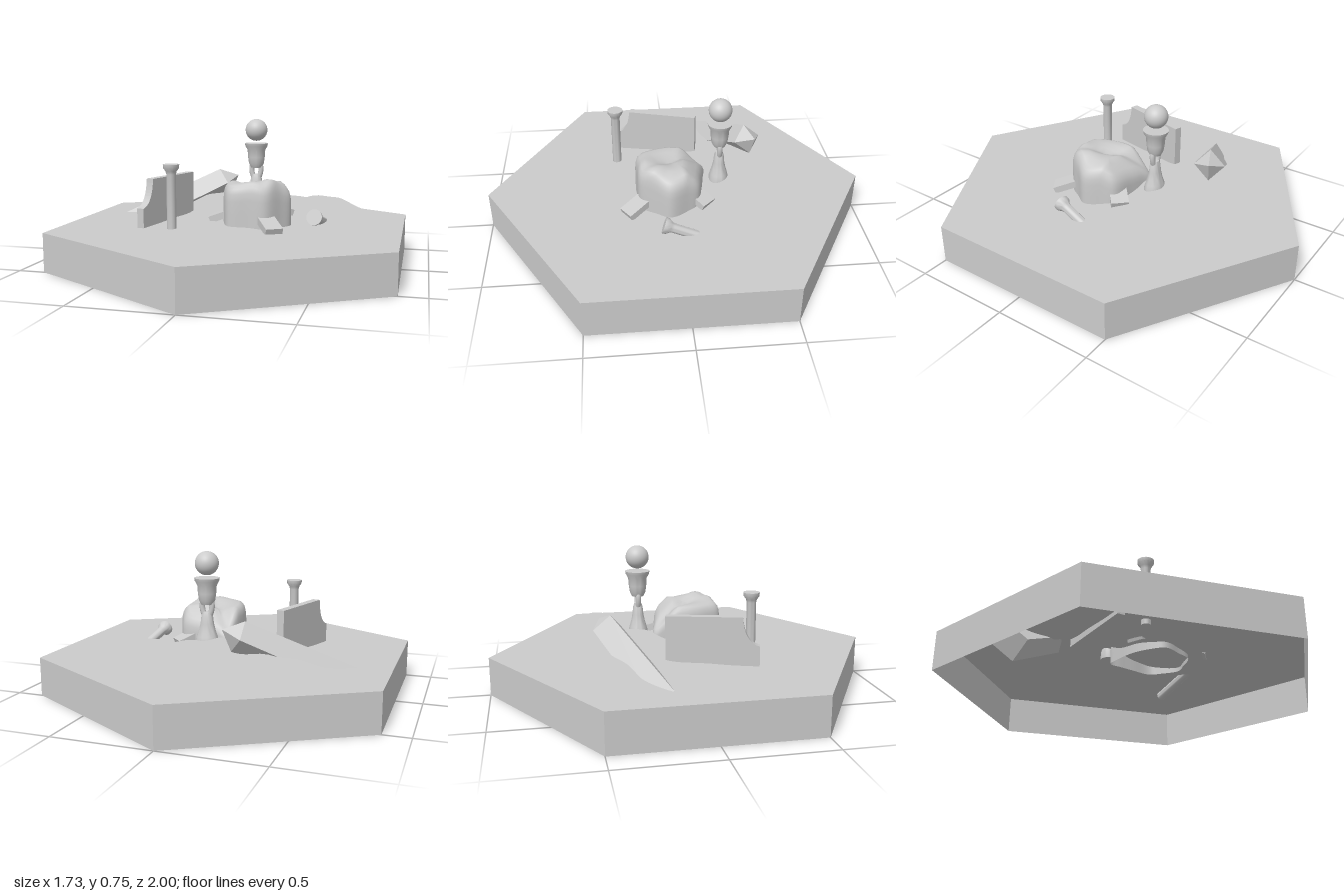
import * as THREE from 'three';
import { ParametricGeometry } from 'three/addons/geometries/ParametricGeometry.js';
import { toCreasedNormals } from 'three/addons/utils/BufferGeometryUtils.js';

const smooth = new THREE.MeshStandardMaterial({ color: 0xcccccc, side: THREE.DoubleSide });
const flat = new THREE.MeshStandardMaterial({ color: 0xcccccc, side: THREE.DoubleSide, flatShading: true });

function part(parent, name, geometry, material = smooth, x = 0, y = 0, z = 0) {
  const mesh = new THREE.Mesh(geometry, material);
  mesh.name = name;
  mesh.position.set(x, y, z);
  parent.add(mesh);
  return mesh;
}

const lathe = (points, sides = 32) =>
  toCreasedNormals(new THREE.LatheGeometry(points.map(p => new THREE.Vector2(...p)), sides), 0.7);

// Ground height: soft mounds [x, z, radius, height] with ripples on top
const mounds = [
  [0.05, -0.32, 0.25, 0.09], [0.45, -0.38, 0.18, 0.095], [-0.38, -0.42, 0.2, 0.07], [-0.15, -0.32, 0.18, 0.05],
  [0.15, -0.6, 0.19, 0.055], [0.46, -0.12, 0.15, 0.03], [-0.13, 0.1, 0.33, 0.03],
];
function groundHeight(x, z) {
  let h = 0;
  for (const [mx, mz, r, a] of mounds) h += a * Math.exp(-((x - mx) ** 2 + (z - mz) ** 2) / (r * r));
  return 0.2 + h * (1 + 0.12 * Math.sin(23 * x + 9 * z) * Math.cos(19 * z - 7 * x));
}

// Hexagonal ground sheet, flat at the rim
function groundGeometry() {
  const geometry = new ParametricGeometry((u, v, target) => {
    const a = u * Math.PI * 2;
    const rim = Math.cos(Math.PI / 6) / Math.cos((a % (Math.PI / 3)) - Math.PI / 6);
    const x = Math.sin(a) * rim * v, z = Math.cos(a) * rim * v;
    const fade = Math.min(1, (1 - v) * 6);
    target.set(x, 0.2 + (groundHeight(x, z) - 0.2) * fade, z);
  }, 96, 48);
  const n = geometry.attributes.normal;
  for (let i = 0; i < n.count; i++) n.setXYZ(i, 0, 1, 0);
  return geometry;
}

// Rounded boulder: one closed outline repeated in rings, with a lumpy top that drops at the back
function boulderGeometry() {
  const outline = new THREE.CatmullRomCurve3([
    [-0.02, -0.15], [0.05, -0.14], [0.13, -0.125], [0.235, -0.1], [0.27, -0.04], [0.302, 0.05],
    [0.26, 0.12], [0.2, 0.2], [0.11, 0.21], [0.01, 0.21], [-0.03, 0.14], [-0.052, 0.04], [-0.04, -0.08],
  ].map(([x, z]) => new THREE.Vector3(x, 0, z)), true);
  const rings = [[0, 1], [0.35, 1], [0.65, 1], [0.8, 0.985], [0.9, 0.95], [0.97, 0.88],
    [1, 0.78], [1, 0.55], [1, 0.35], [1, 0.15], [1, 0]];
  const top = (x, z) => {
    const q = (x - 0.03) * 0.83 - (z + 0.05) * 0.56;
    const lump = 0.04 * Math.exp(-((x - 0.17) ** 2 + (z - 0.14) ** 2) / 0.006);
    return 0.432 + lump + Math.min(0, 0.8 * (z + 0.03)) - 0.5 * Math.max(0, x - 0.23)
      - 0.025 * Math.exp(-((q / 0.04) ** 2));
  };
  const count = 64, cx = 0.12, cz = 0.03, positions = [], index = [];
  rings.forEach(([t, s], j) => {
    for (let i = 0; i < count; i++) {
      const p = outline.getPoint(i / count);
      const x = cx + (p.x - cx) * s, z = cz + (p.z - cz) * s;
      positions.push(x, 0.19 + t * (top(x, z) - 0.19), z);
      if (j === 0) continue;
      const a = (j - 1) * count + i, b = (j - 1) * count + (i + 1) % count;
      index.push(a, a + count, b, b, a + count, b + count);
    }
  });
  const geometry = new THREE.BufferGeometry();
  geometry.setAttribute('position', new THREE.Float32BufferAttribute(positions, 3));
  geometry.setIndex(index);
  geometry.computeVertexNormals();
  return geometry;
}

// Small column with a flared head; its top sits at the local origin
const columnGeometry = () => lathe([
  [0, -0.35], [0.024, -0.35], [0.024, -0.05], [0.028, -0.035], [0.04, -0.018], [0.041, 0], [0, 0],
], 24);

export function createModel() {
  const model = new THREE.Group();
  model.name = 'ruinDiorama';

  // Base
  part(model, 'baseRim', new THREE.CylinderGeometry(1, 1, 0.2, 6, 1, true), flat, 0, 0.1, 0);
  part(model, 'ground', groundGeometry());

  // Boulder and the slabs leaning on it: [x, y, z, outward x, outward z]
  part(model, 'boulder', boulderGeometry());
  const slabs = [[0.225, 0.24, 0.22, 0.55, 0.83], [-0.045, 0.262, 0.095, -1, 0.12], [0.21, 0.272, -0.1, 0.72, -0.7]];
  for (const [x, y, z, dx, dz] of slabs) {
    const slab = part(model, 'leaningSlab', new THREE.BoxGeometry(0.09, 0.035, 0.14), flat, x, y, z);
    slab.rotation.set(0.35, Math.atan2(dx, dz), 0, 'YXZ');
  }

  // Broken pedestal with a floating ball
  const pedestal = new THREE.Group();
  pedestal.name = 'pedestal';
  pedestal.position.set(0.058, 0, -0.222);
  model.add(pedestal);
  part(pedestal, 'ball', new THREE.SphereGeometry(0.06, 32, 20), smooth, 0, 0.685, 0);
  part(pedestal, 'capital', lathe([
    [0, 0.475], [0.03, 0.478], [0.041, 0.5], [0.046, 0.535], [0.049, 0.575], [0.061, 0.597], [0.064, 0.612], [0, 0.612],
  ]));
  part(pedestal, 'foot', lathe([
    [0, 0.25], [0.052, 0.25], [0.051, 0.29], [0.045, 0.315], [0.036, 0.345], [0.029, 0.38], [0.025, 0.42], [0.018, 0.44], [0, 0.442],
  ])).scale.x = 1.2;
  for (const side of [-1, 1]) {
    const strand = new THREE.CatmullRomCurve3([[0.014, 0.42], [0.024, 0.45], [0.026, 0.475], [0.02, 0.5]]
      .map(([x, y]) => new THREE.Vector3(side * x, y, 0)));
    part(pedestal, 'neckStrand', new THREE.TubeGeometry(strand, 12, 0.014, 10));
  }

  // Standing and fallen columns
  part(model, 'standingColumn', columnGeometry(), smooth, -0.255, 0.54, 0.308);
  const fallen = part(model, 'fallenColumn', columnGeometry(), smooth, 0.43, 0.267, 0.095);
  fallen.quaternion.setFromUnitVectors(new THREE.Vector3(0, 1, 0), new THREE.Vector3(-0.03, 0.055, 0.17).normalize());

  // Ruined wall with a scooped front end
  const profile = new THREE.Shape();
  profile.moveTo(0, 0.19);
  profile.lineTo(0.46, 0.19);
  profile.lineTo(0.46, 0.31);
  profile.quadraticCurveTo(0.385, 0.325, 0.375, 0.453);
  profile.lineTo(0, 0.453);
  profile.closePath();
  const wallGeometry = new THREE.ExtrudeGeometry(profile, { depth: 0.04, bevelEnabled: false, curveSegments: 12 });
  wallGeometry.translate(0, 0, -0.02);
  const wall = part(model, 'ruinedWall', wallGeometry, flat, -0.3, 0, -0.138);
  wall.rotation.y = Math.atan2(-0.44, -0.122);

  // Toppled obelisk, half sunk, lying on one edge
  const obelisk = new THREE.Group();
  obelisk.name = 'toppledObelisk';
  const axis = new THREE.Vector3(0.825, 0.42, -0.377).normalize();
  const across = new THREE.Vector3(0.377, 0, 0.825).normalize();
  obelisk.quaternion.setFromRotationMatrix(
    new THREE.Matrix4().makeBasis(across, axis, new THREE.Vector3().crossVectors(across, axis)));
  obelisk.position.set(-0.17, 0.37, -0.41);
  part(obelisk, 'obeliskShaft', new THREE.CylinderGeometry(0.08, 0.092, 0.6, 4), flat, 0, -0.3, 0);
  part(obelisk, 'obeliskTip', new THREE.ConeGeometry(0.08, 0.085, 4, 1, true), flat, 0, 0.0425, 0);
  model.add(obelisk);

  return model;
}
